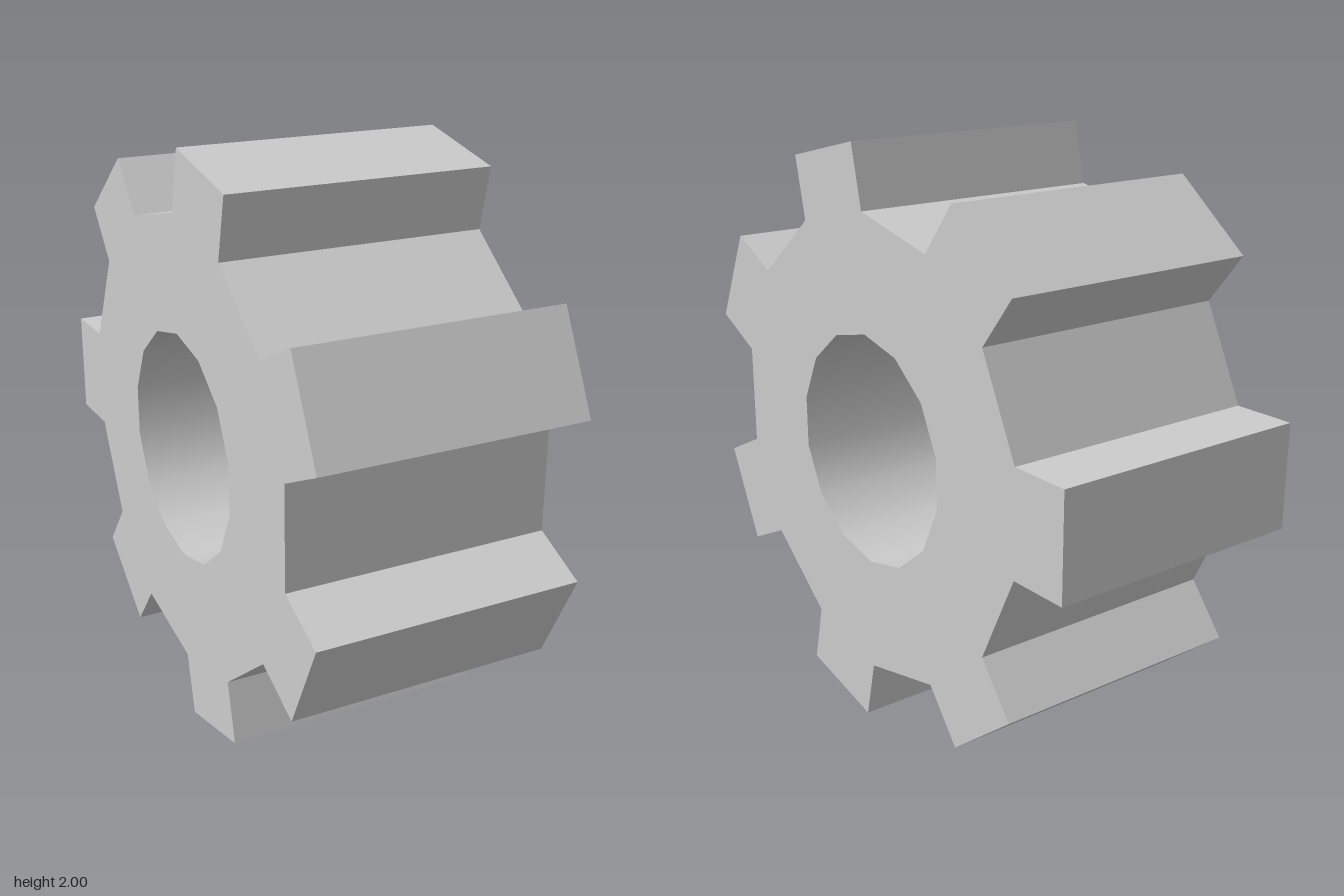
import * as THREE from 'three';

const TEETH = 7, SIDES = TEETH * 2;
const ROOT = 0.79, TIP = 0.985, HALF_TOOTH = 0.177, BORE = 0.396, WIDTH = 0.915;

// Corner of a tooth: distance out along its axis, offset across it
function corner(angle, out, across) {
  const c = Math.cos(angle), s = Math.sin(angle);
  return new THREE.Vector2(out * c - across * s, out * s + across * c);
}

export function createModel() {
  const group = new THREE.Group();
  group.name = 'gear';

  // Outline: straight-sided teeth on alternate sides of a 14-sided hub
  const base = ROOT * Math.cos(Math.PI / SIDES);
  const outline = [];
  for (let i = 0; i < TEETH; i++) {
    const a = Math.PI + (i * 2 * Math.PI) / TEETH;
    outline.push(
      corner(a, base, -HALF_TOOTH), corner(a, TIP, -HALF_TOOTH),
      corner(a, TIP, HALF_TOOTH), corner(a, base, HALF_TOOTH));
  }
  const shape = new THREE.Shape(outline);

  // Bore with a corner straight up
  const bore = [];
  for (let i = 0; i < SIDES; i++) {
    bore.push(corner(Math.PI / 2 - (i * 2 * Math.PI) / SIDES, BORE, 0));
  }
  shape.holes.push(new THREE.Path(bore));

  const geometry = new THREE.ExtrudeGeometry(shape, { depth: WIDTH, bevelEnabled: false });
  geometry.translate(0, 0, -WIDTH / 2);

  // Smooth the bore wall with normals pointing at the axis
  const p = geometry.attributes.position, n = geometry.attributes.normal;
  for (let i = 0; i < p.count; i++) {
    const r = Math.hypot(p.getX(i), p.getY(i));
    if (r < BORE + 0.01 && Math.abs(n.getZ(i)) < 0.5) {
      n.setXYZ(i, -p.getX(i) / r, -p.getY(i) / r, 0);
    }
  }

  // Lay the axle along x
  geometry.rotateY(-Math.PI / 2);
  geometry.translate(0, 1, 0.0105);

  const gear = new THREE.Mesh(geometry, new THREE.MeshStandardMaterial({ color: 0xcccccc }));
  gear.name = 'toothedWheel';
  group.add(gear);
  return group;
}
